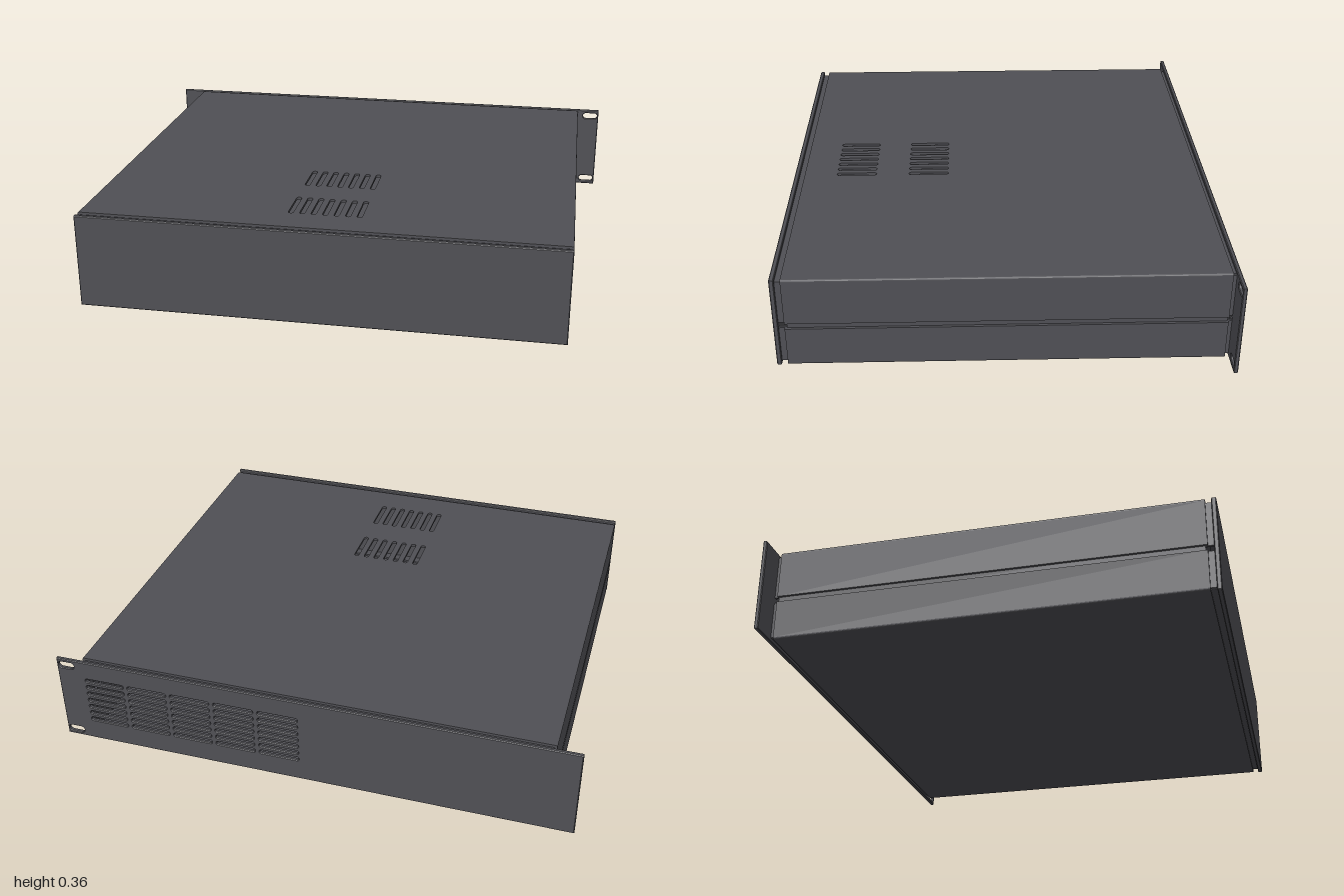
import * as THREE from 'three';

const H = 0.362;              // overall height
const W = 0.905;              // half width of the case
const T = 0.01;               // sheet thickness
const Z0 = -0.8, Z1 = 0.79;   // ends of the case body
const SEAM_LOW = 0.155, SEAM_HIGH = 0.177;

// Rounded slot of full length l and width w, running along x or y
function slot(cx, cy, l, w, vertical = false) {
  const r = w / 2, h = l / 2 - r;
  const a = vertical ? Math.PI / 2 : 0;
  const p = new THREE.Path();
  p.absarc(cx + h * Math.cos(a), cy + h * Math.sin(a), r, a - Math.PI / 2, a + Math.PI / 2);
  p.absarc(cx - h * Math.cos(a), cy - h * Math.sin(a), r, a + Math.PI / 2, a + Math.PI * 1.5);
  p.closePath();
  return p;
}

function rectShape(x0, y0, x1, y1, holes = []) {
  const s = new THREE.Shape();
  s.moveTo(x0, y0).lineTo(x1, y0).lineTo(x1, y1).lineTo(x0, y1).closePath();
  s.holes.push(...holes);
  return s;
}

// Plate standing in the xy plane with a fine chamfer, from z = 0 to z = depth
function chamferedPlate(shape, depth) {
  const b = 0.003;
  const g = new THREE.ExtrudeGeometry(shape, {
    depth: depth - 2 * b, bevelEnabled: true, bevelSize: b, bevelThickness: b,
    bevelOffset: -b, bevelSegments: 1, curveSegments: 5,
  });
  return g.translate(0, 0, b);
}

export function createModel() {
  const group = new THREE.Group();
  const steel = new THREE.MeshStandardMaterial({ color: 0x505055 });
  steel.name = 'dark grey steel';

  const add = (name, geometry, x = 0, y = 0, z = 0) => {
    const m = new THREE.Mesh(geometry, steel);
    m.name = name;
    m.position.set(x, y, z);
    group.add(m);
    return m;
  };
  const box = (name, w, h, d, x, y, z) => add(name, new THREE.BoxGeometry(w, h, d), x, y, z);

  // Top sheet with two banks of slots
  const topHoles = [];
  for (const z of [0.58, 0.29])
    for (let i = -3; i <= 3; i++) topHoles.push(slot(i * 0.043, -z, 0.16, 0.02, true));
  const topShape = rectShape(-W + 0.015, -Z1, W - 0.015, -Z0, topHoles);
  const topGeo = new THREE.ExtrudeGeometry(topShape, { depth: T, bevelEnabled: false, curveSegments: 5 });
  topGeo.rotateX(-Math.PI / 2);
  add('topCover', topGeo, 0, H - T, 0);

  // Bottom sheet
  box('bottomCover', 2 * W - 0.03, T, Z1 - Z0, 0, T / 2, (Z0 + Z1) / 2);

  // Side walls folded from the top and bottom sheets
  for (const side of [-1, 1]) {
    for (const upper of [true, false]) {
      const Y = upper ? (d) => H - d : (d) => d;      // d = distance from the fold
      const end = upper ? H - SEAM_HIGH : SEAM_LOW;
      const s = new THREE.Shape();
      s.moveTo(side * W, Y(end));
      s.lineTo(side * W, Y(0.008));
      s.quadraticCurveTo(side * W, Y(0), side * (W - 0.008), Y(0));
      s.lineTo(side * (W - 0.015), Y(0));
      s.lineTo(side * (W - 0.015), Y(T));
      s.lineTo(side * (W - T), Y(T));
      s.lineTo(side * (W - T), Y(end));
      s.closePath();
      const g = new THREE.ExtrudeGeometry(s, { depth: Z1 - Z0, bevelEnabled: false, curveSegments: 4 });
      add(upper ? 'upperSideWall' : 'lowerSideWall', g, 0, 0, Z0);
    }
    // Rail behind the seam
    box('seamRail', T, 0.06, Z1 - Z0 - 0.01, side * (W - 0.0155), 0.166, (Z0 + Z1) / 2 - 0.003);
  }

  // Inner lips joining the covers to the end panels, open at the seam
  for (const [z, d] of [[0.795, 0.042], [-0.8, 0.034]]) {
    for (const side of [-1, 1]) {
      const x = side * (W - 0.0152);
      box('upperSideLip', T, H - 0.012 - SEAM_HIGH, d, x, (H - 0.012 + SEAM_HIGH) / 2, z);
      box('lowerSideLip', T, SEAM_LOW - 0.012, d, x, (SEAM_LOW + 0.012) / 2, z);
    }
    box('topLip', 2 * W - 0.04, 0.008, d, 0, H - 0.0155, z);
    box('bottomLip', 2 * W - 0.04, 0.008, d, 0, 0.0155, z);
  }

  // Plain front panel
  add('frontPanel', chamferedPlate(rectShape(-W, 0, W, H), 0.018), 0, 0, 0.812);

  // Wide rear mounting panel with mounting slots and a bank of vents
  const rearHoles = [];
  for (const side of [-1, 1])
    for (const y of [0.027, H - 0.027]) rearHoles.push(slot(side * 0.962, y, 0.064, 0.026));
  for (let c = 0; c < 5; c++)
    for (let r = 0; r < 7; r++)
      rearHoles.push(slot(0.81 - c * 0.174, 0.095 + r * 0.0305, 0.155, 0.014));
  add('rearPanel', chamferedPlate(rectShape(-1, 0, 1, H, rearHoles), 0.016), 0, 0, -0.83);

  return group;
}
